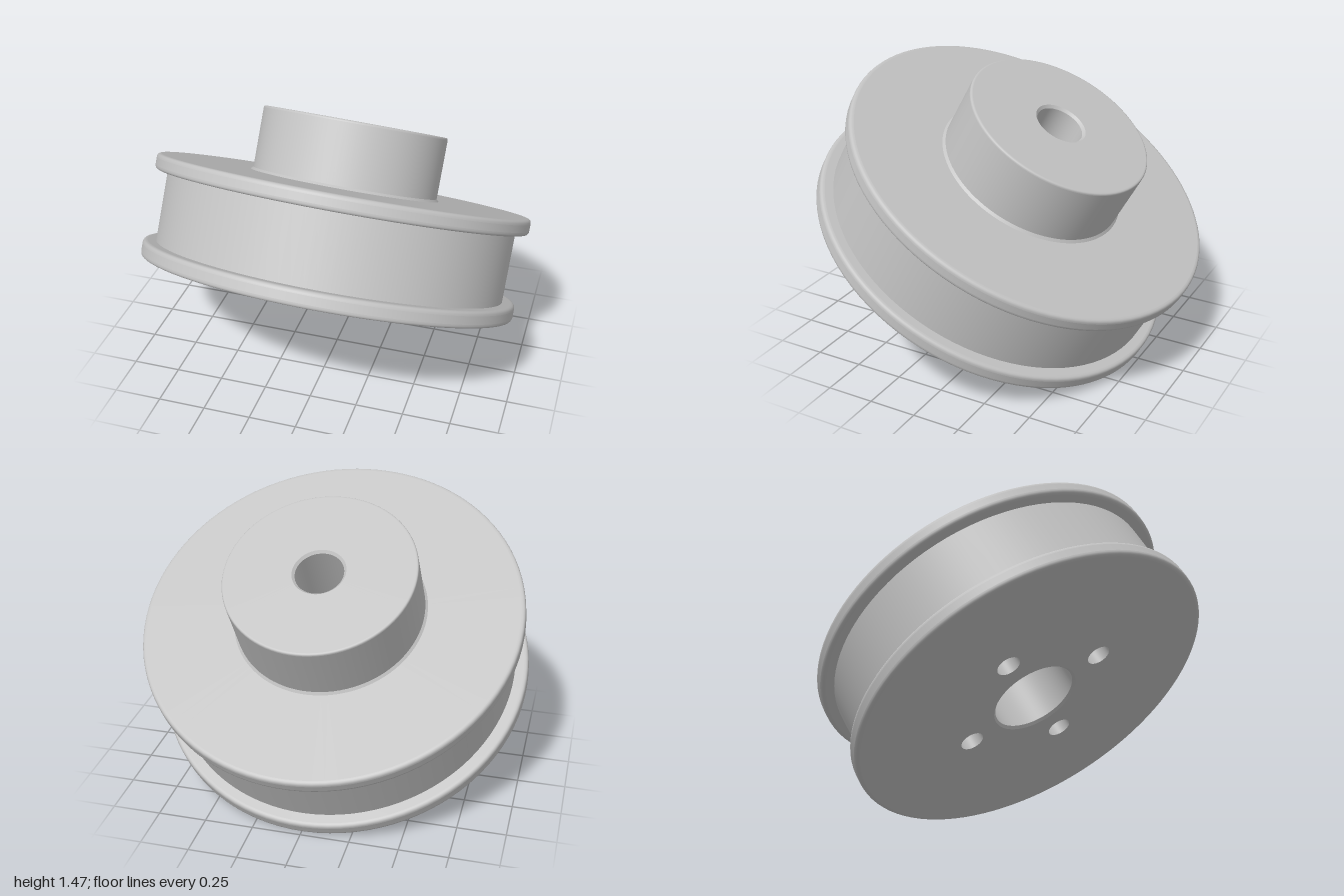
import * as THREE from 'three';
import { mergeGeometries } from 'three/addons/utils/BufferGeometryUtils.js';

const SEG = 96;
const metal = new THREE.MeshStandardMaterial({ color: 0xc3c3c3 });
metal.name = 'lightGreyMetal';

// Turned surface from [radius, height, fillet] corners: sharp between runs, smooth around
function turned(name, corners, seg = SEG) {
  const pts = corners.map(([r, y]) => new THREE.Vector2(r, y));
  const runs = [];
  let start = pts[0];
  for (let i = 1; i < pts.length; i++) {
    const fillet = corners[i][2];
    if (!fillet) {
      runs.push([start, pts[i]]);
      start = pts[i];
      continue;
    }
    const toward = (q) => q.clone().sub(pts[i]).setLength(fillet).add(pts[i]);
    const a = toward(pts[i - 1]);
    const b = toward(pts[i + 1]);
    runs.push([start, a], new THREE.QuadraticBezierCurve(a, pts[i], b).getPoints(5));
    start = b;
  }
  const mesh = new THREE.Mesh(mergeGeometries(runs.map((run) => new THREE.LatheGeometry(run, seg))), metal);
  mesh.name = name;
  return mesh;
}

export function createModel() {
  const R = 0.987, DRUM = 0.92, HUB = 0.488, BORE = 0.123;
  const LOW = 0.085, HIGH = 0.452, TOP = 0.533, HUB_TOP = 0.868;
  const HOLE = 0.062, HOLE_RING = 0.393, F = 0.022;

  const pulley = new THREE.Group();
  pulley.name = 'pulley';

  // Rims, belt drum, hub and stepped bore
  pulley.add(
    turned('lowerFlange', [[0.96, 0], [R, 0, F], [R, LOW, F], [DRUM, LOW]]),
    turned('drum', [[DRUM, LOW], [DRUM, HIGH]]),
    turned('upperFlange', [[DRUM, HIGH], [R, HIGH, F], [R, TOP, F], [HUB, TOP]]),
    turned('hub', [[HUB + 0.012, TOP], [HUB, TOP + 0.012], [HUB, HUB_TOP, 0.012], [BORE + 0.013, HUB_TOP]]),
    turned('bore', [[BORE + 0.013, HUB_TOP], [BORE, HUB_TOP - 0.013], [BORE, 0.3]]),
    turned('counterbore', [[BORE, 0.3], [0.222, 0.3], [0.222, 0.013], [0.235, 0]])
  );

  // Underside with the bore opening and four bolt holes
  const face = new THREE.Shape().absarc(0, 0, 0.96, 0, Math.PI * 2);
  const cut = (x, y, r) => face.holes.push(new THREE.Path().absarc(x, y, r, 0, Math.PI * 2, true));
  cut(0, 0, 0.235);
  for (let i = 0; i < 4; i++) {
    const x = HOLE_RING * Math.cos(i * Math.PI / 2);
    const z = HOLE_RING * Math.sin(i * Math.PI / 2);
    cut(x, z, HOLE);
    const hole = turned('boltHole', [[0, 0.3], [HOLE, 0.3], [HOLE, 0]], 48);
    hole.position.set(x, 0, z);
    pulley.add(hole);
  }
  const underside = new THREE.Mesh(new THREE.ShapeGeometry(face, 48).rotateX(Math.PI / 2), metal);
  underside.name = 'underside';
  pulley.add(underside);

  // Lean the whole wheel backward, resting on its rear lower rim
  pulley.rotation.set(-0.511, 0, -0.039);
  pulley.position.set(-0.016, 0.485, 0.14);

  const model = new THREE.Group();
  model.name = 'tiltedPulley';
  model.add(pulley);
  return model;
}
